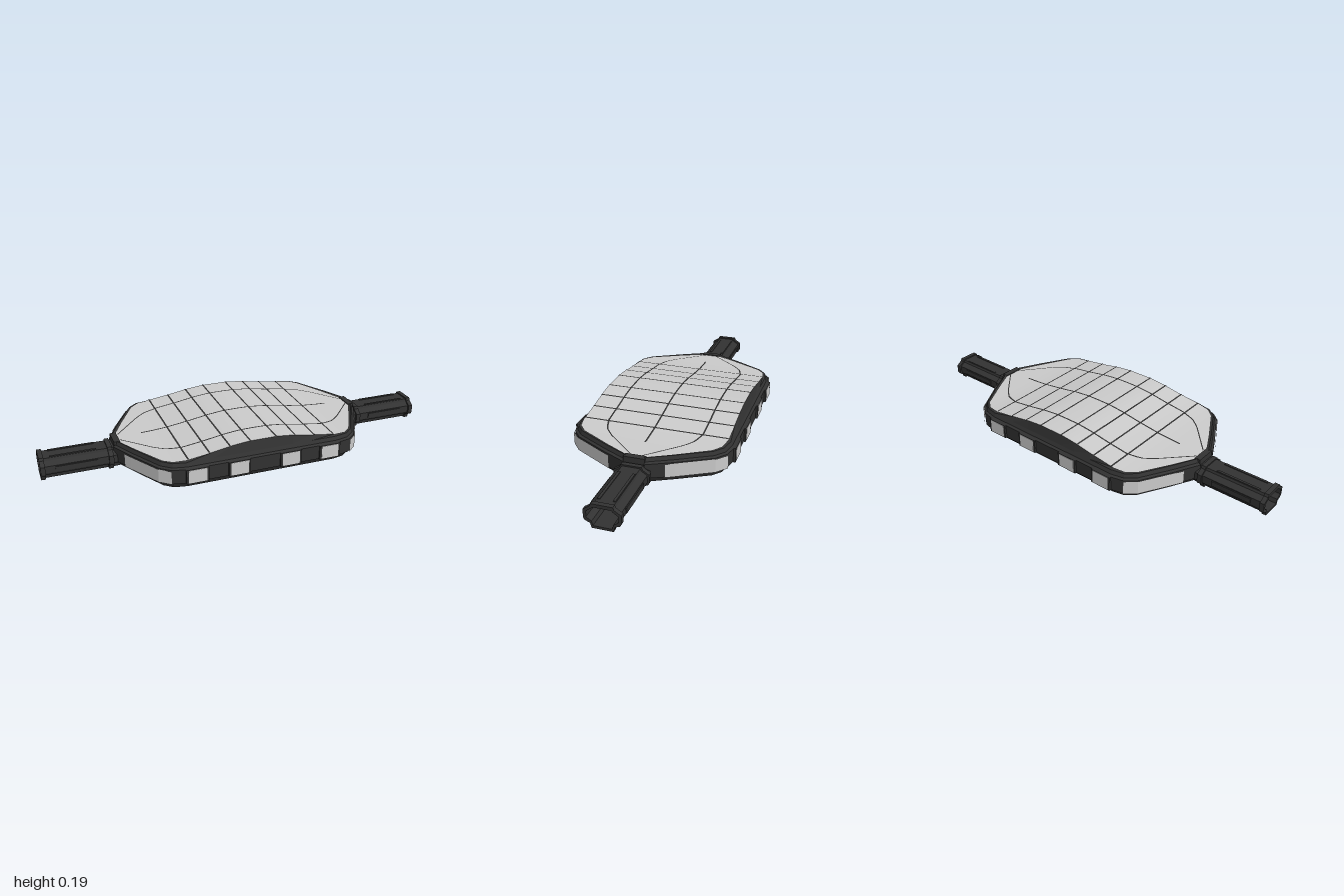
import * as THREE from 'three';

const dark = new THREE.MeshStandardMaterial({ color: 0x323232, flatShading: true, side: THREE.DoubleSide });
const grey = new THREE.MeshStandardMaterial({ color: 0xcccccc, side: THREE.DoubleSide });

// Piecewise linear lookup over [x, value] knots, symmetric in x
function lerpKnots(knots, x) {
  x = Math.abs(x);
  for (let i = 1; i < knots.length; i++) {
    const [x0, v0] = knots[i - 1], [x1, v1] = knots[i];
    if (x <= x1) return v0 + (v1 - v0) * (x - x0) / (x1 - x0);
  }
  return knots[knots.length - 1][1];
}
const roofY = x => lerpKnots([[0, 0.19], [0.07, 0.189], [0.15, 0.181], [0.25, 0.164], [0.38, 0.146], [0.45, 0.141], [0.5, 0.139], [0.65, 0.133]], x);
const seamZ = x => lerpKnots([[0, 0.235], [0.36, 0.235], [0.43, 0.215], [0.48, 0.175], [0.61, 0.03]], x);

// Quarter outline of the hull: x, z and the outward direction used for insets
const quarter = [
  [0.65, 0.05, 0.9, 0.35], [0.59, 0.17, 0.85, 0.5], [0.5, 0.33, 0.72, 0.65], [0.45, 0.372, 0.45, 0.87],
  [0.38, 0.388, 0.15, 1], [0.25, 0.388, 0, 1], [0.15, 0.388, 0, 1], [0.07, 0.388, 0, 1],
];
const half = [...quarter.map(([x, z, nx, nz]) => [-x, z, -nx, nz]), ...quarter.slice().reverse()];

// Front half of the outline, inset, at a height (number or function of x)
function ring(inset, y) {
  return half.map(([x, z, nx, nz]) => {
    const px = x - inset * nx;
    return [px, typeof y === 'function' ? y(px) : y, z - inset * nz];
  });
}
const mirrorZ = row => row.map(([x, y, z]) => [x, y, -z]);

// Surface through rows of points
function loft(rows) {
  const n = rows[0].length, index = [];
  for (let i = 0; i < rows.length - 1; i++) {
    for (let j = 0; j < n - 1; j++) {
      const a = i * n + j, b = a + 1, d = a + n, c = d + 1;
      index.push(a, b, c, a, c, d);
    }
  }
  const g = new THREE.BufferGeometry();
  g.setAttribute('position', new THREE.Float32BufferAttribute(rows.flat(2), 3));
  g.setIndex(index);
  g.computeVertexNormals();
  return g;
}

// Narrow ribbon lying on the roof, between two z functions
function roofStrip(x0, x1, zNear, zFar) {
  const steps = Math.max(1, Math.ceil((x1 - x0) / 0.025));
  const row = f => Array.from({ length: steps + 1 }, (_, i) => {
    const x = x0 + (x1 - x0) * i / steps;
    return [x, roofY(x) + 0.002, f(x)];
  });
  return loft([row(zNear), row(zFar)]);
}

// Hollow connector section, extruded along x
const outer = [[0.045, 0.004], [0.05, 0.025], [0.072, 0.034], [0.078, 0.045], [0.078, 0.082], [0.05, 0.1], [0.045, 0.112]];
const inner = [[0.042, 0.012], [0.047, 0.033], [0.062, 0.042], [0.07, 0.05], [0.07, 0.077], [0.045, 0.094], [0.042, 0.1]];
function section(pts, s = 1) {
  const right = pts.map(([z, y]) => new THREE.Vector2(z * s, 0.057 + (y - 0.057) * s));
  return [...right, ...right.slice().reverse().map(p => new THREE.Vector2(-p.x, p.y))];
}
function tubeGeometry(x0, x1, scale) {
  const shape = new THREE.Shape(section(outer, scale));
  shape.holes.push(new THREE.Path(section(inner)));
  return new THREE.ExtrudeGeometry(shape, { depth: x1 - x0, bevelEnabled: false })
    .rotateY(Math.PI / 2).translate(x0, 0, 0);
}

export function createModel() {
  const model = new THREE.Group();
  const add = (name, geometry, material, parent = model) => {
    const mesh = new THREE.Mesh(geometry, material);
    mesh.name = name;
    parent.add(mesh);
    return mesh;
  };
  const box = (name, w, h, d, x, y, z, material, parent) =>
    add(name, new THREE.BoxGeometry(w, h, d).translate(x, y, z), material, parent);

  // Hull sides, open at the two ends for the connectors
  const sideRows = [
    ring(0.032, 0.01), ring(0.018, 0.038), ring(0.002, 0.043), ring(0, 0.115),
    ring(0.012, 0.122), ring(0.02, 0.14), ring(0.032, roofY),
  ];
  for (const [name, turn] of [['hullFront', 0], ['hullBack', Math.PI]]) {
    add(name, loft(sideRows), dark).rotation.y = turn;
  }
  add('hullBottom', loft([mirrorZ(sideRows[0]), sideRows[0]]), dark);

  // Arched roof panel
  const edge = sideRows[sideRows.length - 1];
  add('roofPanel', loft([edge, mirrorZ(edge)]), grey);

  // Roof seams across and along
  const seams = new THREE.Group();
  seams.name = 'roofSeams';
  model.add(seams);
  for (const x of [0.065, 0.165, 0.265, 0.368]) {
    for (const s of [-1, 1]) {
      add('crossSeam', roofStrip(s * x - 0.004, s * x + 0.004, () => 0.356, () => -0.356), dark, seams);
    }
  }
  add('centreSeam', roofStrip(-0.5, 0.5, () => 0.004, () => -0.004), dark, seams);
  for (const s of [-1, 1]) {
    add('sideSeam', roofStrip(-0.61, 0.61, x => s * seamZ(x) + 0.004, x => s * seamZ(x) - 0.004), dark, seams);
  }

  // Windows along both sides and around the four corners
  for (const sz of [-1, 1]) {
    for (const x of [-0.335, -0.13, 0.13, 0.335]) {
      box('windowFrame', 0.108, 0.072, 0.02, x, 0.079, sz * 0.386, dark);
      box('window', 0.088, 0.066, 0.004, x, 0.079, sz * 0.3955, grey);
    }
    for (const sx of [-1, 1]) {
      const path = [[0.616, 0.132], [0.594, 0.173], [0.504, 0.333], [0.452, 0.378]];
      const row = y => path.map(([x, z]) => [sx * x, y, sz * z]);
      const rows = [row(0.045), row(0.112)];
      if (sx === sz) rows.reverse(); // keep faces outward
      const g = loft(rows).toNonIndexed();
      g.computeVertexNormals();
      add('cornerWindow', g, grey);
    }
  }

  // Hollow connector at each end
  for (const [name, turn] of [['leftConnector', 0], ['rightConnector', Math.PI]]) {
    const arm = new THREE.Group();
    arm.name = name;
    arm.rotation.y = turn;
    model.add(arm);
    box('lintel', 0.03, 0.034, 0.1, 0.63, 0.122, 0, dark, arm);
    add('neck', tubeGeometry(0.62, 0.655, 0.95), dark, arm);
    add('innerCollar', tubeGeometry(0.655, 0.678, 1.07), dark, arm);
    add('tube', tubeGeometry(0.678, 0.978, 0.95), dark, arm);
    add('outerCollar', tubeGeometry(0.978, 1, 1.07), dark, arm);
    for (const s of [-1, 1]) {
      box('topRail', 0.22, 0.008, 0.012, 0.84, 0.109, s * 0.034, dark, arm);
      box('sidePlate', 0.2, 0.026, 0.008, 0.83, 0.063, s * 0.075, dark, arm);
    }
  }
  return model;
}
